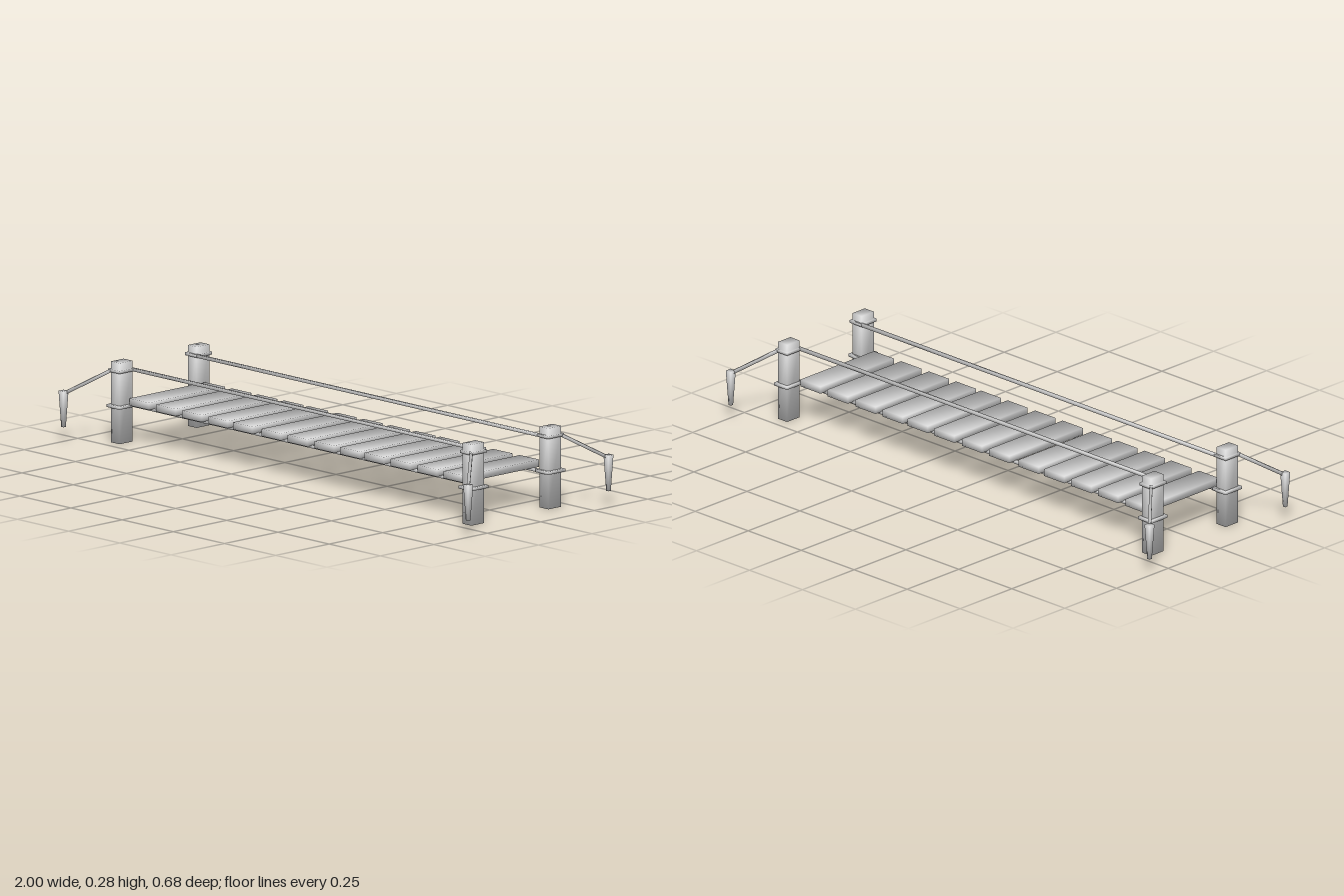
import * as THREE from 'three';

const material = new THREE.MeshStandardMaterial({ color: 0xcccccc });

// Box shaded smoothly round its corners: each normal points along the corner's diagonal.
// taper scales the lower end.
function softBox(w, h, d, taper = 1) {
  const geometry = new THREE.BoxGeometry(w, h, d);
  const p = geometry.attributes.position;
  const corner = new THREE.Vector3();
  for (let i = 0; i < p.count; i++) {
    corner.set(Math.sign(p.getX(i)), Math.sign(p.getY(i)), Math.sign(p.getZ(i))).normalize();
    geometry.attributes.normal.setXYZ(i, corner.x, corner.y, corner.z);
    if (corner.y < 0) {
      p.setX(i, p.getX(i) * taper);
      p.setZ(i, p.getZ(i) * taper);
    }
  }
  return geometry;
}

function addMesh(parent, name, geometry, x, y, z) {
  const mesh = new THREE.Mesh(geometry, material);
  mesh.name = name;
  mesh.position.set(x, y, z);
  parent.add(mesh);
  return mesh;
}

// Straight square rope between two points
function addRope(parent, name, a, b) {
  const from = new THREE.Vector3(...a), to = new THREE.Vector3(...b);
  const geometry = softBox(0.0105, 0.0105, from.distanceTo(to));
  const middle = from.add(to).multiplyScalar(0.5);
  addMesh(parent, name, geometry, middle.x, middle.y, middle.z).lookAt(to);
}

export function createModel() {
  const model = new THREE.Group();
  model.name = 'ropeBridge';

  // Walking planks, slightly unevenly spaced
  const plankX = [-0.778, -0.647, -0.521, -0.393, -0.273, -0.134, -0.005,
    0.126, 0.251, 0.369, 0.497, 0.628, 0.757];
  const plank = softBox(0.095, 0.025, 0.355);
  const planks = new THREE.Group();
  planks.name = 'planks';
  model.add(planks);
  plankX.forEach(x => addMesh(planks, 'plank', plank, x, 0.143, -0.002));

  const post = softBox(0.043, 0.28, 0.06);
  const lowerLoop = softBox(0.062, 0.01, 0.08);
  const upperLoop = softBox(0.056, 0.01, 0.073);
  const stake = softBox(0.024, 0.125, 0.024, 0.46);

  for (const sz of [1, -1]) {
    // Handrail and deck ropes along each side
    addRope(model, 'handrailRope', [-0.87, 0.25, sz * 0.149], [0.87, 0.25, sz * 0.149]);
    addRope(model, 'deckRope', [-0.87, 0.127, sz * 0.149], [0.87, 0.127, sz * 0.149]);

    for (const sx of [1, -1]) {
      // Corner post with rope loops, anchor rope and stake
      const corner = new THREE.Group();
      corner.name = 'cornerPost';
      model.add(corner);
      const x = sx * 0.859, z = sz * 0.18;
      addMesh(corner, 'post', post, x, 0.14, z);
      addMesh(corner, 'lowerRopeLoop', lowerLoop, x, 0.127, z);
      addMesh(corner, 'upperRopeLoop', upperLoop, x, 0.25, z);
      addRope(corner, 'anchorRope', [sx * 0.877, 0.251, sz * 0.207], [sx * 0.988, 0.169, sz * 0.328]);
      addMesh(corner, 'stake', stake, sx * 0.988, 0.1165, sz * 0.328);
    }
  }
  return model;
}
